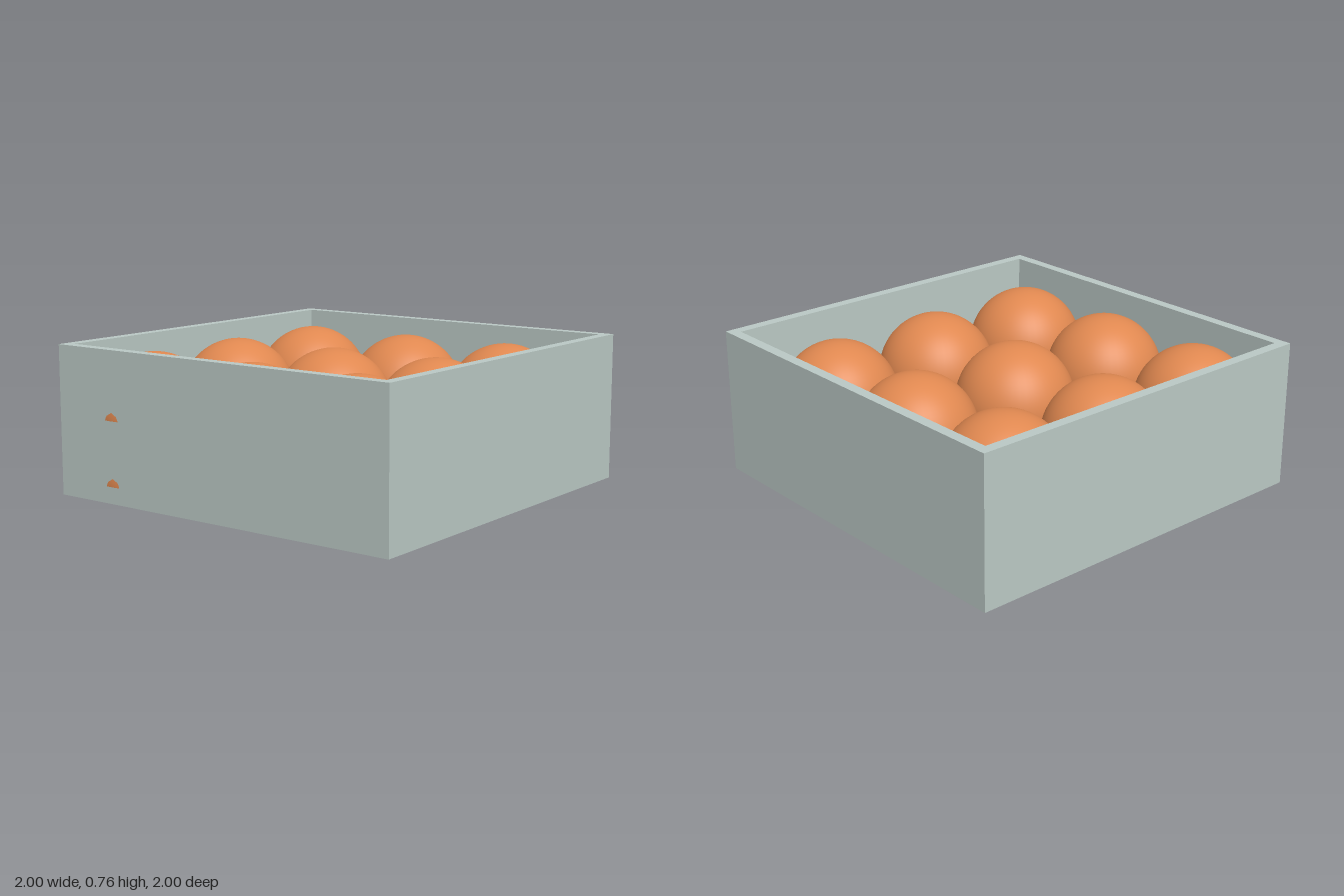
import * as THREE from 'three';

export function createModel() {
  const model = new THREE.Group();
  const boxMat = new THREE.MeshStandardMaterial({ color: 0xbbc9c5 });
  const bunMat = new THREE.MeshStandardMaterial({ color: 0xe08850 });

  const height = 0.76, wall = 0.055, floorTop = 0.055;
  const square = (Type, h) => new Type([[-h, -h], [h, -h], [h, h], [-h, h]].map(p => new THREE.Vector2(...p)));

  // Open tray: a square ring of walls with a floor inside
  const tray = new THREE.Group();
  tray.name = 'tray';
  const outline = square(THREE.Shape, 1);
  outline.holes.push(square(THREE.Path, 1 - wall));
  const wallGeo = new THREE.ExtrudeGeometry(outline, { depth: height, bevelEnabled: false });
  wallGeo.rotateX(-Math.PI / 2);
  const walls = new THREE.Mesh(wallGeo, boxMat);
  walls.name = 'trayWalls';
  const inner = 2 * (1 - wall);
  const floor = new THREE.Mesh(new THREE.BoxGeometry(inner, floorTop, inner), boxMat);
  floor.position.y = floorTop / 2;
  floor.name = 'trayFloor';
  tray.add(walls, floor);
  model.add(tray);

  // Domed buns: two stacked layers of slightly skewed 3 x 3 rows
  const radius = 0.307;
  const domeGeo = new THREE.SphereGeometry(radius, 48, 20, 0, Math.PI * 2, 0, Math.PI / 2);
  const baseGeo = new THREE.CircleGeometry(radius, 48).rotateX(Math.PI / 2);
  const rows = [
    { z: -0.647, x: -0.059 },
    { z: -0.017, x: -0.053 },
    { z: 0.592, x: -0.035 },
  ];
  for (const [layer, y] of [['lower', 0.085], ['upper', 0.412]]) {
    for (const row of rows) {
      for (const col of [-1, 0, 1]) {
        const bun = new THREE.Group();
        bun.name = layer + 'Bun';
        const dome = new THREE.Mesh(domeGeo, bunMat);
        dome.name = 'bunDome';
        const base = new THREE.Mesh(baseGeo, bunMat);
        base.name = 'bunBase';
        bun.add(dome, base);
        bun.position.set(row.x + col * 0.637, y, row.z);
        model.add(bun);
      }
    }
  }
  return model;
}
